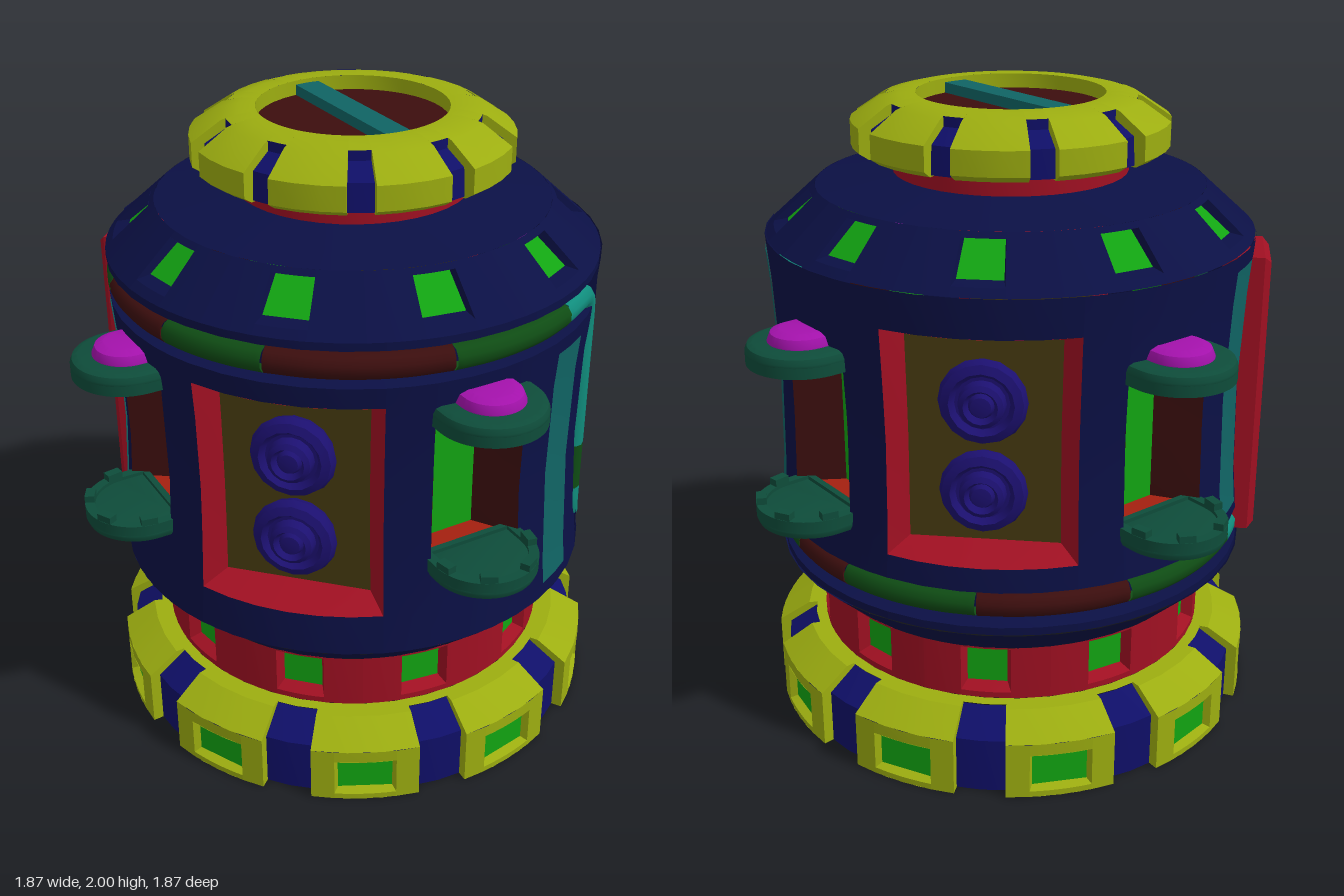
import * as THREE from 'three';
import { toCreasedNormals } from 'three/addons/utils/BufferGeometryUtils.js';

const mat = (color) => new THREE.MeshStandardMaterial({ color, side: THREE.DoubleSide });
const M = {
  navy: mat(0x0b1045), red: mat(0xa01022), yellow: mat(0x9cad10), green: mat(0x12a412), blue: mat(0x0f0f68),
  maroon: mat(0x3c0e0e), panel: mat(0x106464), teal: mat(0x108c7c), pipe: mat(0x0f4c14), cap: mat(0x0e4c3a),
  magenta: mat(0xa412ac), olive: mat(0x463a10), knob: mat(0x1c1070), scarlet: mat(0xa42010),
};
const rad = THREE.MathUtils.degToRad, lerp = THREE.MathUtils.lerp;

function add(parent, name, geo, material, crease = 0.45) {
  const mesh = new THREE.Mesh(toCreasedNormals(geo, crease), material);
  mesh.name = name;
  parent.add(mesh);
  return mesh;
}

// Point at an angle around the axis (0 = front, 90 = +x)
const polar = (r, deg, y) => new THREE.Vector3(r * Math.sin(rad(deg)), y, r * Math.cos(rad(deg)));

// Radius of a rising [r, y] profile at a height, and the part of it between two heights
function radiusAt(prof, y) {
  for (let i = 1; i < prof.length; i++) {
    const [r0, y0] = prof[i - 1], [r1, y1] = prof[i];
    if (y <= y1) return lerp(r0, r1, (y - y0) / (y1 - y0));
  }
  return prof[prof.length - 1][0];
}
const clip = (prof, a, b) => [[radiusAt(prof, a), a], ...prof.filter((p) => p[1] > a && p[1] < b), [radiusAt(prof, b), b]];

// Profile swept from angle a0 to a1
function sweep(parent, name, prof, a0, a1, material) {
  if (a1 - a0 < 0.01) return;
  const pts = prof.map((p) => new THREE.Vector2(p[0], p[1]));
  add(parent, name, new THREE.LatheGeometry(pts, Math.max(1, Math.ceil((a1 - a0) / 9)), rad(a0), rad(a1 - a0)), material);
}

// Wall sector with a recessed opening: sloping walls running in to a flat back plate
function windowed(parent, name, prof, a, span, o) {
  const { half, y0, y1, back, inset, shrink, frame, wall, glass } = o;
  sweep(parent, name + 'Wall', prof, a - span, a - half, frame);
  sweep(parent, name + 'Wall', prof, a + half, a + span, frame);
  sweep(parent, name + 'Wall', clip(prof, prof[0][1], y0), a - half, a + half, frame);
  sweep(parent, name + 'Wall', clip(prof, y1, prof[prof.length - 1][1]), a - half, a + half, frame);
  const outer = (u, v) => {
    const y = lerp(y0, y1, (v + 1) / 2);
    return polar(radiusAt(prof, y), a + u * half, y);
  };
  const inner = (u, v) => {
    const t = (v + 1) / 2, y = lerp(y0 + inset, y1 - inset, t);
    const x = u * shrink * radiusAt(prof, y) * Math.sin(rad(half));
    return new THREE.Vector3(x, y, lerp(back[0], back[1], t)).applyAxisAngle(new THREE.Vector3(0, 1, 0), rad(a));
  };
  const corners = [[-1, -1], [1, -1], [1, 1], [-1, 1]], tris = [], n = 6;
  corners.forEach((c, i) => {
    const d = corners[(i + 1) % 4];
    for (let k = 0; k < n; k++) {
      const p = [lerp(c[0], d[0], k / n), lerp(c[1], d[1], k / n)];
      const q = [lerp(c[0], d[0], (k + 1) / n), lerp(c[1], d[1], (k + 1) / n)];
      tris.push(outer(...p), outer(...q), inner(...q), outer(...p), inner(...q), inner(...p));
    }
  });
  add(parent, name + 'Recess', new THREE.BufferGeometry().setFromPoints(tris), wall);
  const [A, B, C, D] = corners.map((c) => inner(...c));
  add(parent, name + 'Back', new THREE.BufferGeometry().setFromPoints([A, B, C, A, C, D]), glass);
}

// Flat radial end face from a closed [r, y] outline
function endFace(parent, name, outline, a, material) {
  const shape = new THREE.Shape(outline.map((p) => new THREE.Vector2(...p)));
  add(parent, name, new THREE.ShapeGeometry(shape), material).rotation.y = rad(a) - Math.PI / 2;
}

function turret(parent, name, a) {
  const g = new THREE.Group();
  g.name = name;
  g.rotation.y = rad(a);
  parent.add(g);
  return g;
}

// Round-fronted outline, lying flat, extruded upward from y
function stadium(R, back, y, h, bevel = 0, hole = 0) {
  const outline = (s, r, b) => s.moveTo(r, -b).lineTo(r, -0.77).absarc(0, -0.77, r, 0, Math.PI, true).lineTo(-r, -b).closePath();
  const shape = outline(new THREE.Shape(), R, back);
  if (hole) shape.holes.push(outline(new THREE.Path(), hole, back + 0.02));
  return new THREE.ExtrudeGeometry(shape, {
    depth: h - bevel, bevelEnabled: bevel > 0, bevelThickness: bevel, bevelSize: bevel, bevelOffset: -bevel,
    bevelSegments: 2, curveSegments: 14,
  }).rotateX(-Math.PI / 2).translate(0, y, 0);
}

function lantern(parent, a) {
  const g = turret(parent, 'lantern', a);
  for (const s of [1, -1]) {
    const half = new THREE.Group();
    half.name = s > 0 ? 'lanternTop' : 'lanternFoot';
    half.scale.y = s;
    half.position.y = 1.085;
    add(half, 'capRim', stadium(0.165, 0.68, 0.225, 0.035, 0, 0.135), M.cap);
    add(half, 'capCover', stadium(0.165, 0.68, 0.258, 0.03, 0.022), M.cap);
    add(half, 'capLining', stadium(0.138, 0.6, 0.24, 0.01), M.scarlet);
    add(half, 'lampDome', stadium(0.1, 0.7, 0.285, 0.04, 0.035), M.magenta);
    if (s < 0) for (const t of [-80, -28, 28, 80]) {
      const tooth = add(half, 'rimTooth', new THREE.BoxGeometry(0.05, 0.03, 0.03), M.cap);
      tooth.position.copy(polar(0.148, t, 0.218)).add(new THREE.Vector3(0, 0, 0.77));
      tooth.rotation.y = rad(t);
    }
    g.add(half);
  }
}

// Round knob facing outward; profile is [radius, height]
function dial(parent, name, prof, y, z, material) {
  const geo = new THREE.LatheGeometry(prof.map((p) => new THREE.Vector2(...p)), 16).rotateX(Math.PI / 2);
  add(parent, name, geo, material, 0.6).position.set(0, y, z);
}

// Pipe piece through [angle, y] points
function pipe(parent, pts, material) {
  const curve = new THREE.CatmullRomCurve3(pts.map(([a, y]) => polar(0.723, a, y)));
  add(parent, 'pipe', new THREE.TubeGeometry(curve, pts.length * 4, 0.039, 10), material, 0.8);
}

export function createModel() {
  const model = new THREE.Group();

  // Base ring, red collar and roof: ten repeats each
  const collar = [[0.64, 0.25], [0.64, 0.43]], roof = [[0.76, 1.59], [0.605, 1.73]], foot = [[0.8, 0], [0.8, 0.19]];
  const crown = [[0.385, 1.83], [0.46, 1.83], [0.49, 1.85], [0.49, 1.925], [0.4, 1.985], [0.34, 2], [0.29, 2]];
  for (let i = 0; i < 10; i++) {
    const a = -9 + 36 * i, b = a + 18;
    windowed(model, 'collar', collar, a, 18, { half: 7, y0: 0.27, y1: 0.425, back: [0.6, 0.6], inset: 0.018, shrink: 0.8,
      frame: M.red, wall: M.red, glass: M.green });
    windowed(model, 'roof', roof, a, 18, { half: 5.8, y0: 1.612, y1: 1.715, back: [0.69, 0.585], inset: 0.008, shrink: 0.9,
      frame: M.navy, wall: M.navy, glass: M.green });
    windowed(model, 'footBlock', foot, b, 12.3, { half: 7, y0: 0.02, y1: 0.15, back: [0.772, 0.772], inset: 0.01, shrink: 0.88,
      frame: M.yellow, wall: M.yellow, glass: M.green });
    sweep(model, 'footBlockTop', [[0.8, 0.19], [0.7, 0.25], [0.67, 0.25]], b - 12.3, b + 12.3, M.yellow);
    sweep(model, 'footBlockUnderside', [[0.8, 0], [0.76, 0]], b - 12.3, b + 12.3, M.yellow);
    sweep(model, 'crownBlock', crown, a - 13.2, a + 13.2, M.yellow);
    sweep(model, 'crownNotch', [[0.385, 1.835], [0.455, 1.835], [0.45, 1.92], [0.385, 1.96], [0.385, 1.99]], b - 4.8, b + 4.8, M.blue);
    sweep(model, 'crownRim', [[0.385, 1.989], [0.34, 2], [0.29, 2]], b - 4.8, b + 4.8, M.yellow);
    for (const s of [-1, 1]) {
      endFace(model, 'footBlockEnd', [...foot, [0.7, 0.25], [0.67, 0.25], [0.67, 0.2], [0.76, 0.15], [0.76, 0]], b + s * 12.3, M.yellow);
      endFace(model, 'crownBlockEnd', [...crown.slice(0, 5), [0.385, 1.99]], a + s * 13.2, M.yellow);
    }
  }
  const ring = (name, prof, m) => sweep(model, name, prof, 0, 360, m);
  ring('footRing', [[0.768, 0], [0.768, 0.18], [0.67, 0.243]], M.blue);
  ring('footLedge', [[0.675, 0.249], [0.64, 0.249]], M.yellow);
  ring('bodyUnderside', [[0.64, 0.43], [0.765, 0.55]], M.navy);
  ring('roofTop', [[0.605, 1.73], [0.365, 1.765]], M.navy);
  ring('neck', [[0.365, 1.755], [0.365, 1.83]], M.red);
  ring('crownInside', [[0.365, 1.83], [0.39, 1.83]], M.yellow);
  ring('crownBore', [[0.29, 2], [0.29, 1.95]], M.yellow);
  add(model, 'lid', new THREE.CircleGeometry(0.295, 30).rotateX(-Math.PI / 2).translate(0, 1.955, 0), M.maroon);
  add(model, 'lidBar', new THREE.BoxGeometry(0.08, 0.035, 0.58).translate(0, 1.97, 0), M.panel);

  // Body: two half turns, the pipe groove high on one and low on the other
  const high = [[0.765, 0.55], [0.752, 0.7], [0.738, 1], [0.745, 1.3], [0.758, 1.45], [0.7, 1.455], [0.7, 1.56], [0.76, 1.565], [0.76, 1.59]];
  const low = high.map(([r, y]) => [r, 2.14 - y]).reverse();
  const pipes = new THREE.Group();
  pipes.name = 'pipework';
  model.add(pipes);
  [[high, 0, 0.68, 1.505], [low, 180, 0.765, 0.637]].forEach(([prof, turn, y0, pipeY]) => {
    for (const [a, b] of [[-135, -102], [-78, -67], [-23, -12], [12, 45]]) sweep(model, 'bodyWall', prof, turn + a, turn + b, M.navy);
    for (const a of [-90, 0]) {
      windowed(model, 'lanternNiche', prof, turn + a, 12, { half: 12, y0: 0.82, y1: 1.35, back: [0.6, 0.6], inset: 0, shrink: 0.46,
        frame: M.navy, wall: M.maroon, glass: M.green });
      lantern(model, turn + a);
    }
    // Recessed panel with two dials
    windowed(model, 'dialPanel', prof, turn - 45, 22, { half: 22, y0, y1: y0 + 0.705, back: [0.63, 0.63], inset: 0.035, shrink: 0.8,
      frame: M.navy, wall: M.red, glass: M.olive });
    const dials = turret(model, 'dials', turn - 45);
    for (const s of [-1, 1]) {
      dial(dials, 'dial', [[0.12, 0], [0.13, 0.025], [0.12, 0.05], [0.095, 0.06], [0.08, 0.04], [0.07, 0.04], [0.065, 0.07],
        [0.05, 0.08], [0.038, 0.06], [0.03, 0.075], [0, 0.08]], y0 + 0.345 + s * 0.14, 0.63, M.knob);
    }
    // Flush side strips
    for (const [a, s0] of [[27, 0.6], [-117, 0.6]]) {
      const start = turn ? 0.735 : s0;
      sweep(model, 'sideStrip', clip(prof, start, start + 0.81).map(([r, y]) => [r + 0.005, y]), turn + a - 5.5, turn + a + 5.5, M.panel);
    }
    // Groove ends and the pipe runs lying in the groove
    for (const a of [-135, 45]) endFace(model, 'grooveEnd', [[0.7, pipeY - 0.055], [0.76, pipeY - 0.055], [0.76, pipeY + 0.055], [0.7, pipeY + 0.055]], turn + a, M.navy);
    const stops = turn ? [64, 80, 100, 134, 170, 208, 225] : [26, -8, -49, -75, -103, -118, -135];
    for (let i = 0; i < 6; i++) {
      const run = [0, 1, 2, 3, 4].map((k) => [lerp(stops[i], stops[i + 1], k / 4), pipeY]);
      pipe(pipes, run, i === 5 ? M.teal : i % 2 ? M.maroon : M.pipe);
    }
  });
  // Pipe drop between the two grooves
  pipe(pipes, [[26, 1.505], [33, 1.505], [39, 1.495], [43, 1.465], [45, 1.41], [45, 1.2], [45, 0.95]], M.teal);
  pipe(pipes, [[45, 0.95], [45, 0.87], [45, 0.79]], M.pipe);
  pipe(pipes, [[45, 0.79], [45, 0.73], [47, 0.677], [51, 0.647], [57, 0.637], [64, 0.637]], M.teal);

  // Button box on the back corner
  const box = turret(model, 'buttonBox', -135);
  const rect = (s, w, h) => s.moveTo(-w, -h).lineTo(w, -h).lineTo(w, h).lineTo(-w, h).closePath();
  const frame = rect(new THREE.Shape(), 0.118, 0.46);
  frame.holes.push(rect(new THREE.Path(), 0.066, 0.36));
  add(box, 'boxFrame', new THREE.ExtrudeGeometry(frame, { depth: 0.1, bevelThickness: 0.02, bevelSize: 0.02, bevelOffset: -0.02, bevelSegments: 1 })
    .translate(0, 1.075, 0.69), M.red);
  add(box, 'boxPlate', new THREE.BoxGeometry(0.16, 0.76, 0.02).translate(0, 1.075, 0.765), M.panel);
  for (let i = 0; i < 4; i++) {
    const y = 1.075 + (i - 1.5) * 0.185;
    dial(box, 'button', [[0.054, 0], [0.054, 0.02], [0.045, 0.03], [0.028, 0.03], [0.024, 0.015]], y, 0.775, M.knob);
    dial(box, 'buttonLight', [[0.026, 0], [0.026, 0.018], [0, 0.022]], y, 0.775, M.yellow);
  }
  return model;
}
